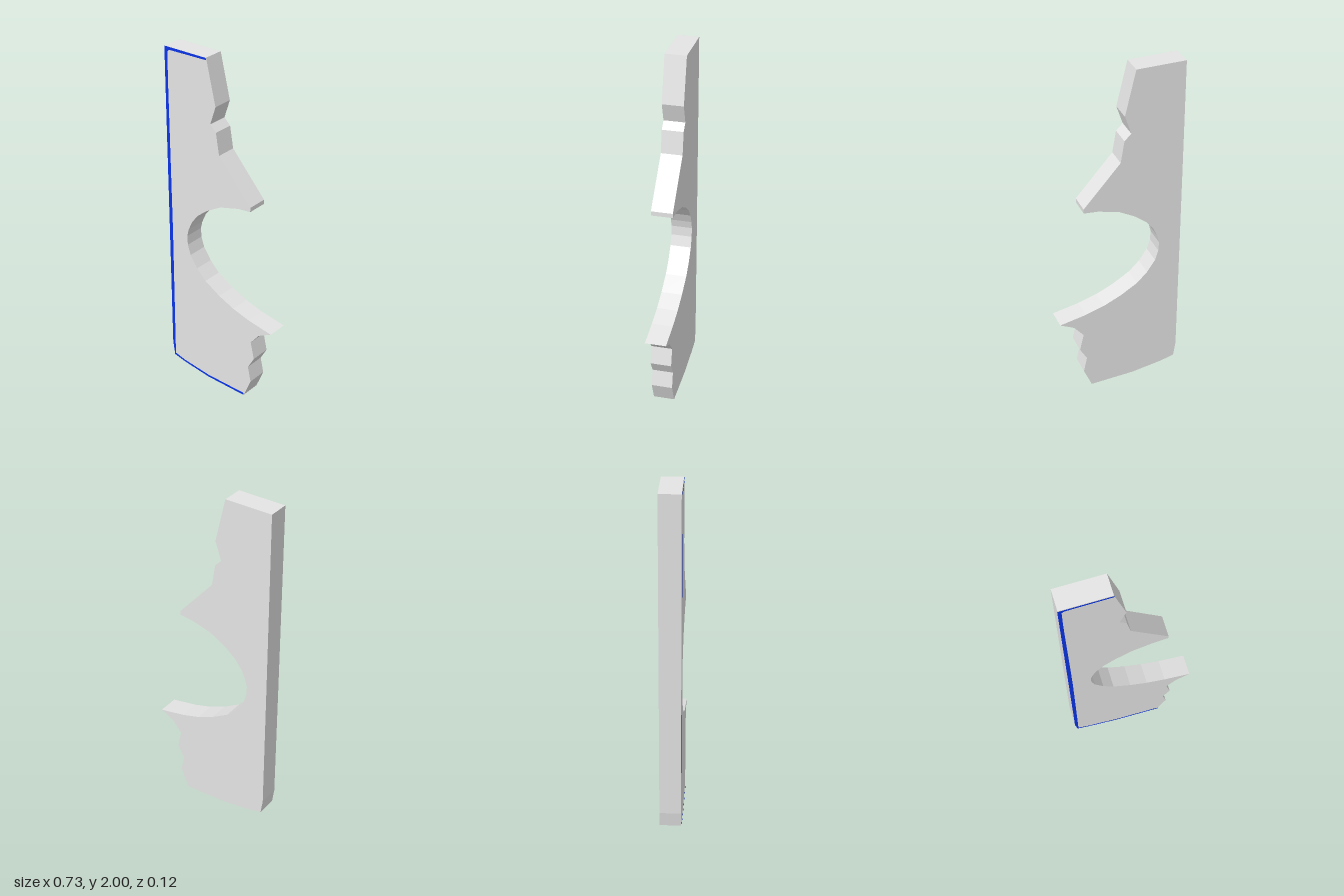
import * as THREE from 'three';

const FRONT = 0.058, BACK = -0.061;

// Closed shape from [x, y] points
const toShape = (pts) => new THREE.Shape(pts.map(([x, y]) => new THREE.Vector2(x, y)));

export function createModel() {
  const grey = new THREE.MeshStandardMaterial({ color: 0xe4e4e4 });
  grey.name = 'light grey';
  const blue = new THREE.MeshStandardMaterial({ color: 0x0a34e8 });
  blue.name = 'blue';

  // Straight outer edge, from the top corner down and along the sagging bottom
  const outerEdge = [
    [-0.361, 2], [-0.355, 0.9], [-0.35, 0.15], [-0.337, 0.063], [-0.26, 0.043], [-0.08, 0.014], [0.18, 0.002],
  ];
  // Jagged lower break, up to the lower horn
  const lowerBreak = [
    [0.227, 0.115], [0.207, 0.208], [0.248, 0.28], [0.225, 0.382], [0.28, 0.45], [0.363, 0.492],
  ];
  // Round bite, from the lower horn to the upper one
  const bite = [
    [0.21, 0.522], [0.1, 0.555], [0, 0.6], [-0.1, 0.66], [-0.16, 0.72], [-0.207, 0.79], [-0.226, 0.85],
    [-0.229, 0.905], [-0.218, 0.95], [-0.193, 1.005], [-0.15, 1.06], [-0.085, 1.112], [0.01, 1.165], [0.13, 1.197],
  ];
  // Jagged upper break, up to the top
  const upperBreak = [
    [0.212, 1.205], [0.212, 1.23], [0.001, 1.47], [-0.02, 1.597], [-0.058, 1.635], [-0.022, 1.742], [-0.083, 2],
  ];

  // Painted border along the top, outer side and bottom
  const border = [
    [-0.083, 2], [-0.363, 2], ...outerEdge.slice(1),
    [0.177, 0.016], [-0.08, 0.027], [-0.26, 0.055], [-0.331, 0.075], [-0.332, 0.9], [-0.343, 1.8],
    [-0.343, 1.972], [-0.33, 1.984], [-0.081, 1.988],
  ];

  const panelGeometry = new THREE.ExtrudeGeometry(
    toShape([...outerEdge, ...lowerBreak, ...bite, ...upperBreak]),
    { depth: FRONT - BACK, bevelEnabled: false },
  );
  const panel = new THREE.Mesh(panelGeometry, grey);
  panel.name = 'panel';
  panel.position.z = BACK;

  // Flat paint just clear of the panel's front
  const stripe = new THREE.Mesh(new THREE.ShapeGeometry(toShape(border)), blue);
  stripe.name = 'border';
  stripe.position.z = FRONT + 0.003;

  const model = new THREE.Group();
  model.name = 'brokenPanel';
  model.add(panel, stripe);
  return model;
}
